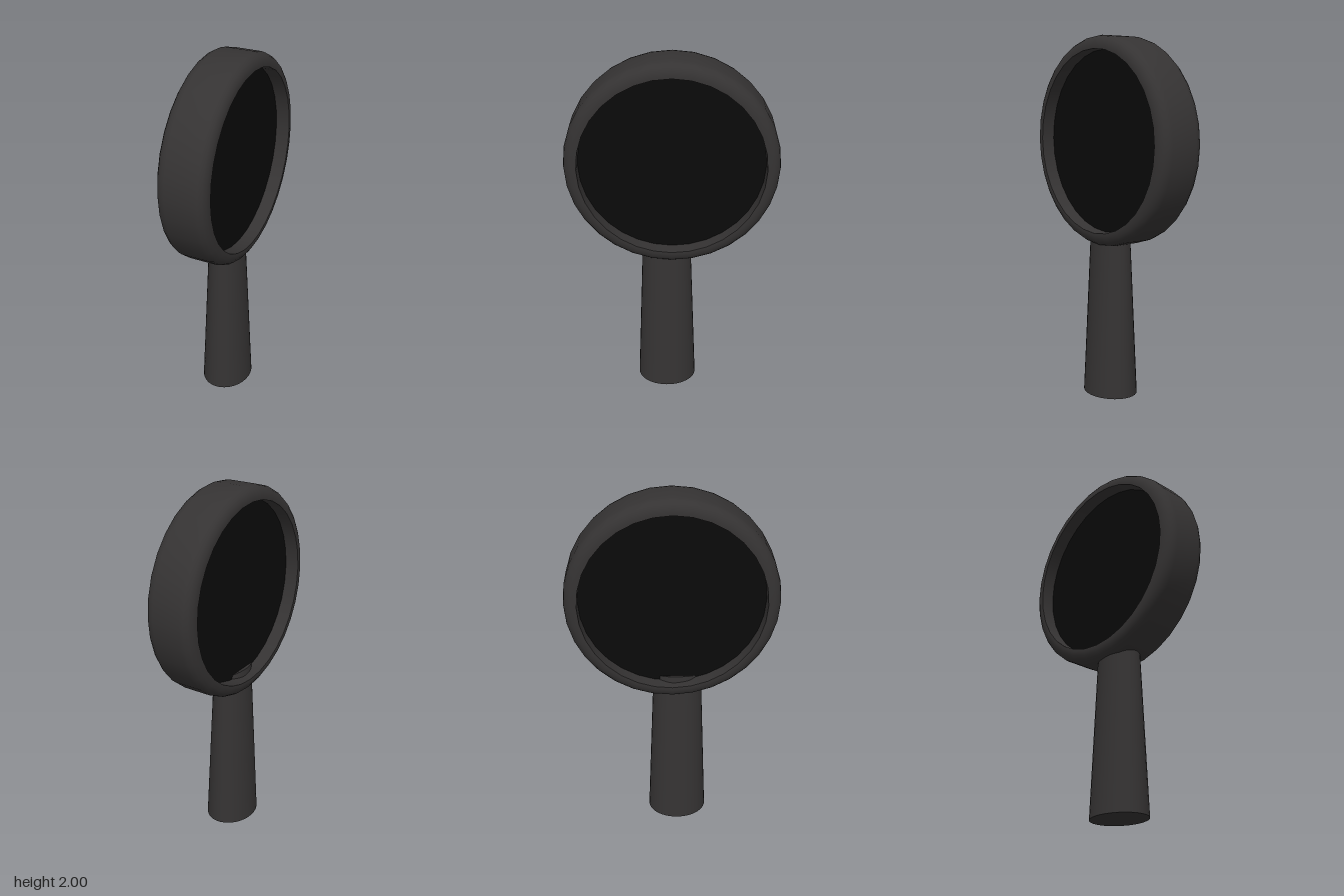
import * as THREE from 'three';
import { toCreasedNormals } from 'three/addons/utils/BufferGeometryUtils.js';

const SIDES = 32;
const CENTRE_Y = 1.43;

// Closed ring cross-section: rounded outer corners, sharp inner edges
function rimProfile(inner, outer, half, round) {
  const points = [new THREE.Vector2(inner, -half)];
  const steps = 4;
  for (const end of [-1, 1]) {
    for (let i = 0; i <= steps; i++) {
      const t = (end < 0 ? i / steps - 1 : i / steps) * Math.PI / 2;
      points.push(new THREE.Vector2(
        outer - round + round * Math.cos(t),
        end * (half - round) + round * Math.sin(t)));
    }
  }
  points.push(new THREE.Vector2(inner, half), new THREE.Vector2(inner, -half));
  return points;
}

export function createModel() {
  const model = new THREE.Group();
  const casing = new THREE.MeshStandardMaterial({ color: 0x353333 });
  const glass = new THREE.MeshStandardMaterial({ color: 0x0a0a0a });

  const add = (name, geometry, material, x, y, z) => {
    const mesh = new THREE.Mesh(geometry, material);
    mesh.name = name;
    mesh.position.set(x, y, z);
    model.add(mesh);
    return mesh;
  };

  // Round rim, its axis along x
  const rim = new THREE.LatheGeometry(rimProfile(0.497, 0.57, 0.138, 0.06), SIDES);
  rim.rotateZ(-Math.PI / 2);
  add('rim', toCreasedNormals(rim, 0.7), casing, -0.002, CENTRE_Y, 0);

  // Dark lens, recessed from both faces of the rim
  const lens = new THREE.CylinderGeometry(0.5, 0.5, 0.12, SIDES);
  lens.rotateZ(-Math.PI / 2);
  add('lens', lens, glass, -0.002, CENTRE_Y, 0);

  // Tapered oval handle; its slanted top runs into the rim
  const height = 0.94;
  const handle = new THREE.CylinderGeometry(0.092, 0.14, height, SIDES);
  handle.translate(0, height / 2, 0);
  const p = handle.attributes.position;
  for (let i = 0; i < p.count; i++) {
    const t = p.getY(i) / height;
    p.setY(i, p.getY(i) - 0.35 * p.getX(i) * t);
    p.setZ(i, p.getZ(i) * (1.21 + 0.24 * t));
  }
  add('handle', toCreasedNormals(handle, 0.7), casing, 0, 0, 0.03);

  return model;
}
